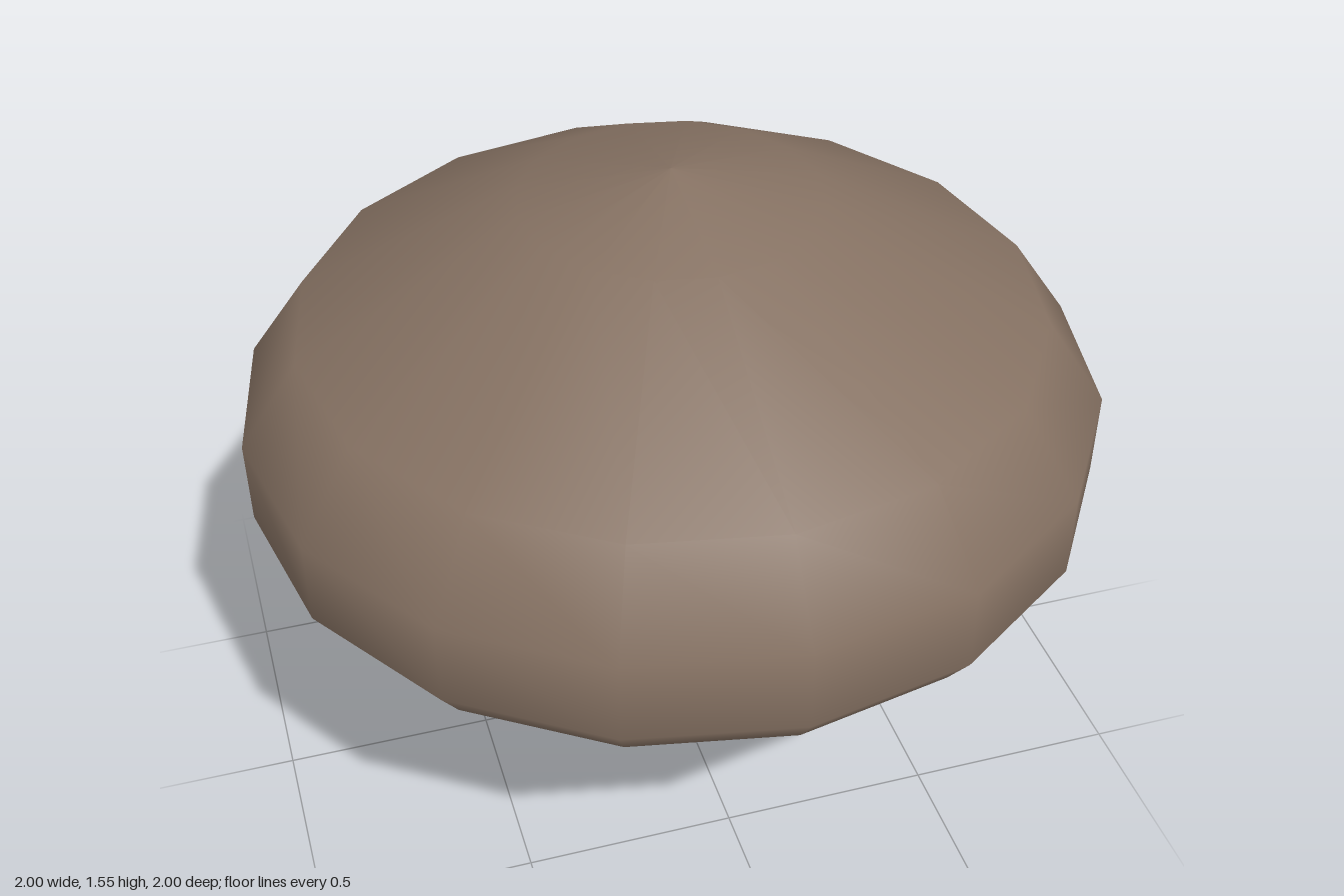
import * as THREE from 'three';

const SIDES = 16;

export function createModel() {
  const model = new THREE.Group();
  model.name = 'mushroom';

  const brown = new THREE.MeshStandardMaterial({ color: 0x857162 });
  brown.name = 'mushroom brown';

  // One continuous profile, so shading flows from the stem into the hollow underside
  const profile = [
    // stem, from the base up
    [0, 0], [0.23, 0.01], [0.25, 0.04], [0.26, 0.2], [0.212, 0.51], [0.165, 0.7], [0.155, 0.84],
    // hollow underside, outward to the rim
    [0.24, 0.875], [0.6, 0.82], [0.77, 0.73], [0.86, 0.68],
    // rim and dome
    [0.94, 0.72], [0.998, 0.8], [1, 1], [0.86, 1.2], [0.345, 1.48], [0, 1.55],
  ].map(([r, y]) => new THREE.Vector2(r, y));

  const body = new THREE.Mesh(new THREE.LatheGeometry(profile, SIDES), brown);
  body.name = 'capAndStem';
  model.add(body);

  return model;
}
